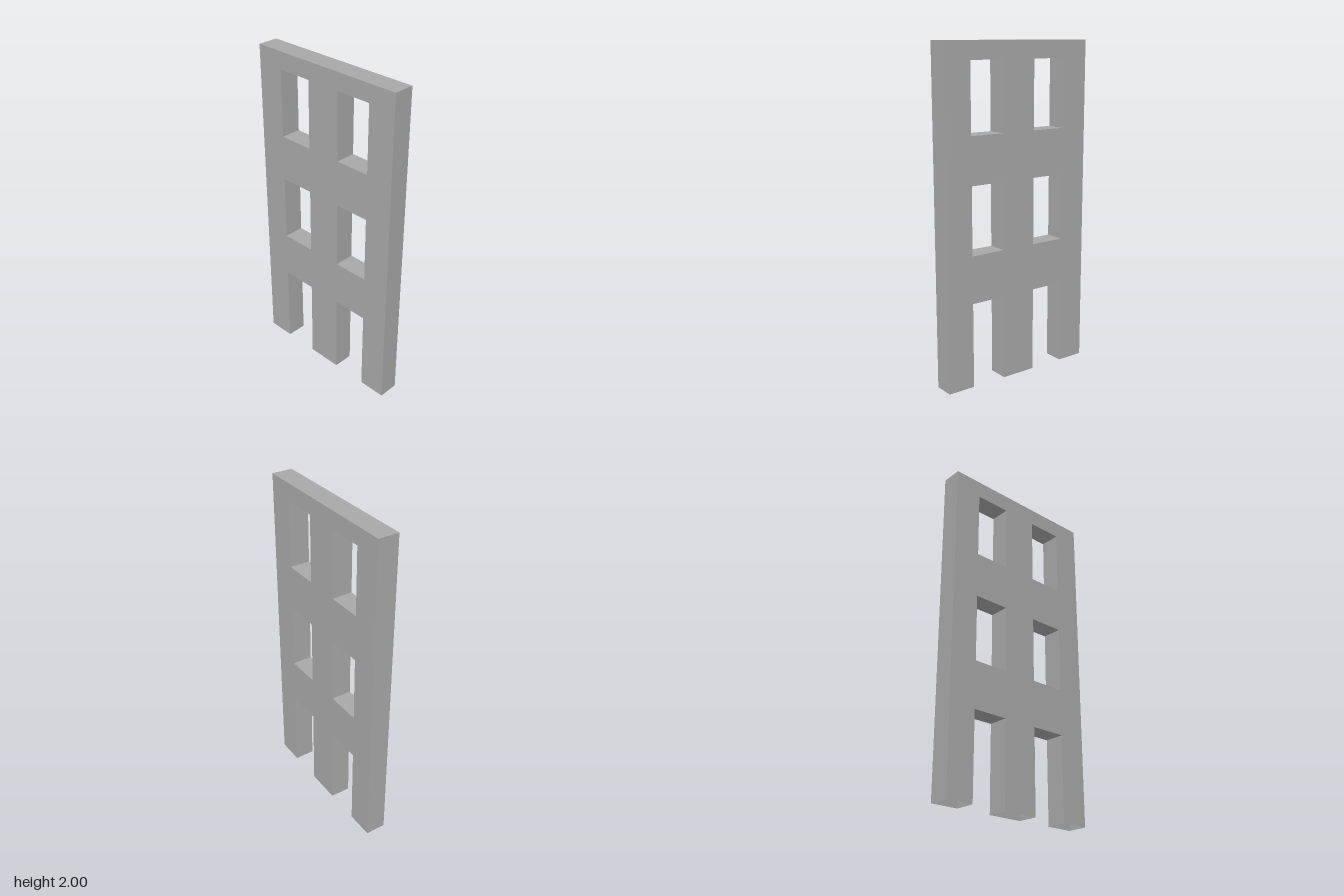
import * as THREE from 'three';

const HALF_W = 0.5, HEIGHT = 2, DEPTH = 0.125;
const OPEN_IN = 0.11, OPEN_OUT = 0.33;      // opening edges either side of the centre
const DOOR_TOP = 0.515;
const WINDOW_ROWS = [[0.8, 1.205], [1.485, 1.895]];

// Drops the triangles lying on the ground, leaving the hollow wall open below
function openBottom(geometry) {
  const source = geometry.index ? geometry.toNonIndexed() : geometry;
  const p = source.attributes.position;
  const kept = [];
  for (let i = 0; i < p.count; i += 3) {
    const onGround = [0, 1, 2].every((k) => Math.abs(p.getY(i + k)) < 1e-5);
    if (onGround) continue;
    for (let k = 0; k < 3; k++) kept.push(p.getX(i + k), p.getY(i + k), p.getZ(i + k));
  }
  const result = new THREE.BufferGeometry();
  result.setAttribute('position', new THREE.Float32BufferAttribute(kept, 3));
  result.computeVertexNormals();
  return result;
}

export function createModel() {
  const group = new THREE.Group();
  group.name = 'facade';

  const wallGray = new THREE.MeshStandardMaterial({ color: 0xa8a8a8, side: THREE.DoubleSide });
  wallGray.name = 'wall gray';

  // Wall outline with two doorways cut up from the ground
  const outline = [
    [-HALF_W, 0], [-OPEN_OUT, 0], [-OPEN_OUT, DOOR_TOP], [-OPEN_IN, DOOR_TOP], [-OPEN_IN, 0],
    [OPEN_IN, 0], [OPEN_IN, DOOR_TOP], [OPEN_OUT, DOOR_TOP], [OPEN_OUT, 0],
    [HALF_W, 0], [HALF_W, HEIGHT], [-HALF_W, HEIGHT],
  ];
  const shape = new THREE.Shape(outline.map(([x, y]) => new THREE.Vector2(x, y)));

  // Two rows of paired windows
  for (const [y0, y1] of WINDOW_ROWS) {
    for (const side of [-1, 1]) {
      const a = side * OPEN_IN, b = side * OPEN_OUT;
      shape.holes.push(new THREE.Path([
        new THREE.Vector2(a, y0), new THREE.Vector2(a, y1),
        new THREE.Vector2(b, y1), new THREE.Vector2(b, y0),
      ]));
    }
  }

  const solid = new THREE.ExtrudeGeometry(shape, { depth: DEPTH, bevelEnabled: false });
  solid.translate(0, 0, -DEPTH / 2);

  const wall = new THREE.Mesh(openBottom(solid), wallGray);
  wall.name = 'wall';
  group.add(wall);
  return group;
}
